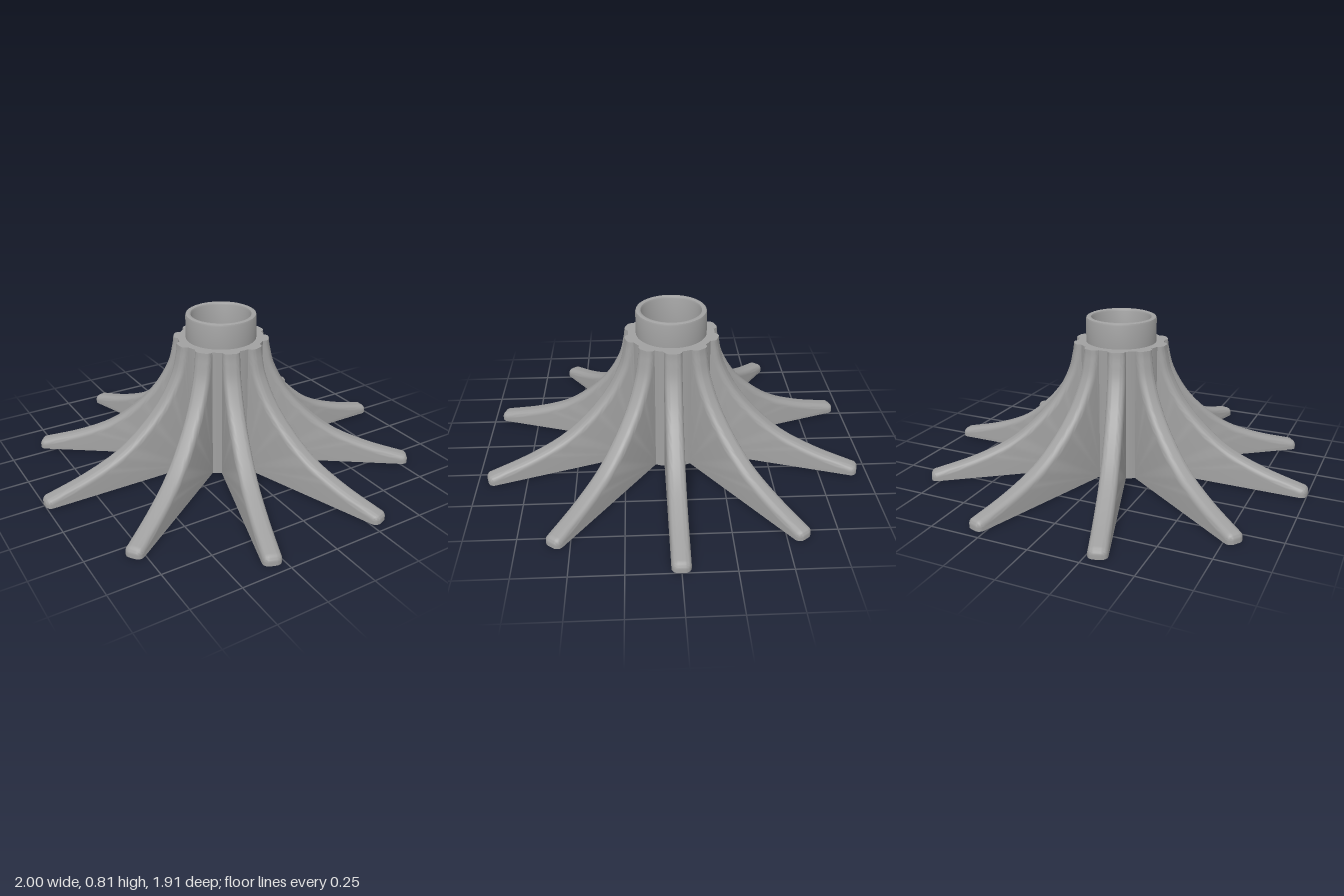
import * as THREE from 'three';
import { toCreasedNormals } from 'three/addons/utils/BufferGeometryUtils.js';

const FINS = 10, HALF = 0.045, ROUND = 0.03, ROOT = 0.2, TOP = 0.68;

// Fin outline as [radius, height, normalR, normalY]; a zero normal means no rounding
function finPath() {
  const sweep = new THREE.SplineCurve([
    [0.243, TOP], [0.25, 0.63], [0.277, 0.53], [0.35, 0.4], [0.46, 0.28],
    [0.6, 0.175], [0.78, 0.1], [0.97, 0.048],
  ].map(([x, y]) => new THREE.Vector2(x, y)));
  const path = [[ROOT, TOP, 0, 0]];
  const steps = 36;
  for (let i = 0; i <= steps; i++) {
    const p = sweep.getPoint(i / steps), t = sweep.getTangent(i / steps);
    path.push(i === 0 ? [p.x, p.y, 1, 0] : [p.x, p.y, -t.y, t.x]);
  }
  // rounded tip
  for (let i = 1; i <= 6; i++) {
    const a = (1 - i / 6) * 1.3;
    const c = Math.cos(a), s = Math.sin(a);
    path.push([0.97 + ROUND * c, 0.018 + ROUND * s, c, s]);
  }
  path.push([1, 0, 1, 0], [ROOT, 0, 0, 0]);
  return path;
}

// One fin along +x: outline swept across its width with rounded edges and flat sides
function finGeometry() {
  const rows = [];
  const arc = 6;
  for (let i = -arc; i <= arc; i++) {
    const a = (Math.abs(i) / arc) * Math.PI / 2;
    const z = HALF - ROUND + ROUND * Math.sin(a);
    const d = ROUND * (1 - Math.cos(a));
    if (i < 0) rows.push([-z, d]);
    else if (i > 0) rows.push([z, d]);
    else rows.push([-z, 0], [z, 0]);
  }
  const path = finPath();
  const across = rows.length + 2;
  const pos = [], index = [];
  path.forEach(([r, y, nr, ny]) => {
    pos.push(ROOT, 0, -HALF);
    rows.forEach(([z, d]) => pos.push(r - nr * d, Math.max(0, y - ny * d), z));
    pos.push(ROOT, 0, HALF);
  });
  for (let i = 0; i < path.length - 1; i++) {
    for (let j = 0; j < across - 1; j++) {
      const a = i * across + j, b = a + 1, c = a + across, d = c + 1;
      if (j !== across - 2) index.push(b, d, c);
      if (j !== 0) index.push(a, b, c);
    }
  }
  const g = new THREE.BufferGeometry();
  g.setAttribute('position', new THREE.Float32BufferAttribute(pos, 3));
  g.setIndex(index);
  return toCreasedNormals(g, 0.6);
}

export function createModel() {
  const model = new THREE.Group();
  model.name = 'finnedStand';
  const grey = new THREE.MeshStandardMaterial({ color: 0xa0a0a0 });
  grey.name = 'grey';

  // Hollow hub with a wider socket below and a narrower collar on top
  const profile = [
    [0.195, 0], [0.22, 0], [0.22, TOP], [0.18, TOP], [0.18, 0.797], [0.177, 0.806],
    [0.168, 0.81], [0.162, 0.81], [0.154, 0.806], [0.15, 0.797],
    [0.15, 0.62], [0.195, 0.6], [0.195, 0],
  ].map(([x, y]) => new THREE.Vector2(x, y));
  const hub = new THREE.Mesh(toCreasedNormals(new THREE.LatheGeometry(profile, 64), 0.6), grey);
  hub.name = 'hub';
  model.add(hub);

  // Ring of fins
  const geometry = finGeometry();
  for (let i = 0; i < FINS; i++) {
    const fin = new THREE.Mesh(geometry, grey);
    fin.name = `fin${i + 1}`;
    fin.rotation.y = (i / FINS) * Math.PI * 2;
    model.add(fin);
  }
  return model;
}
